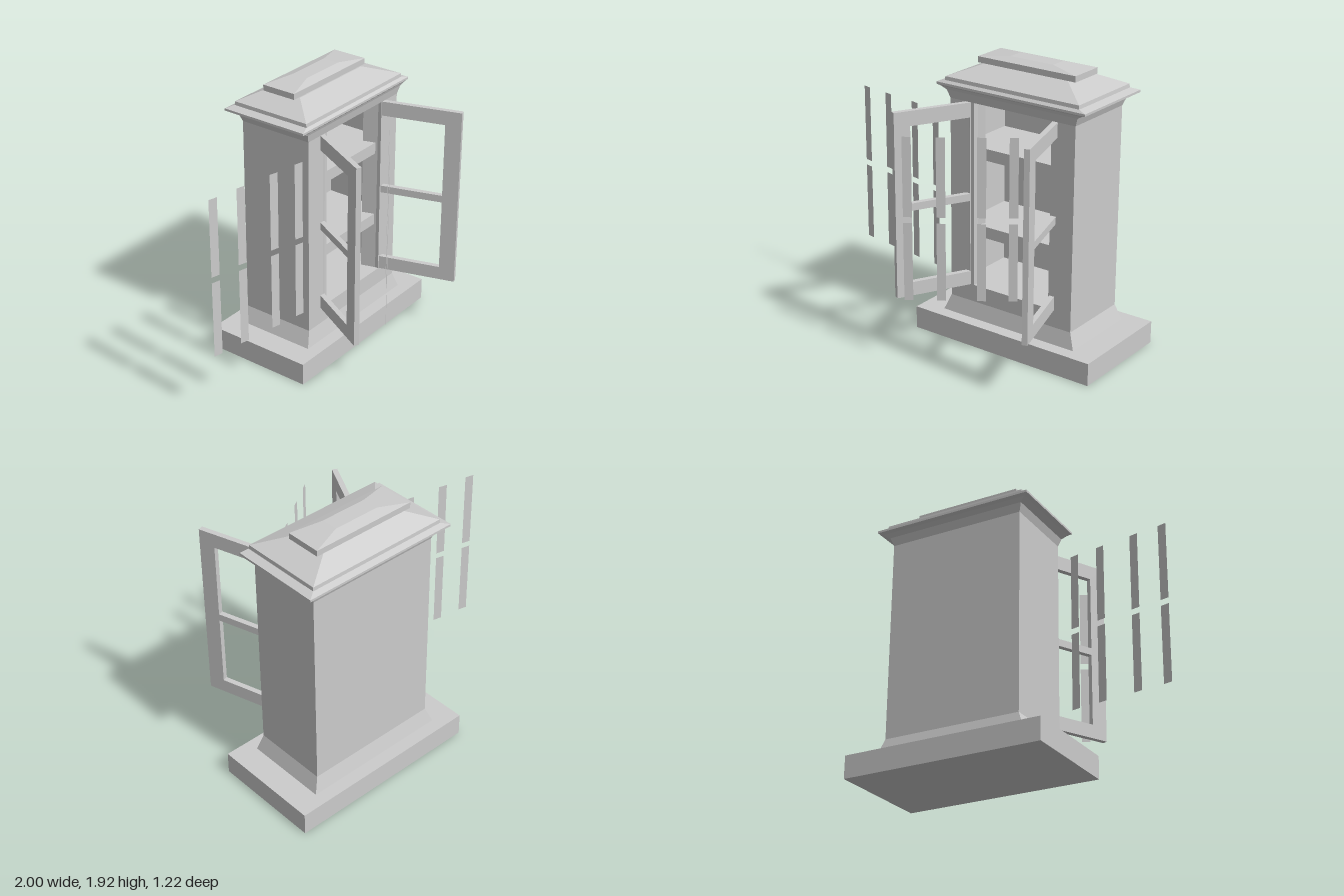
import * as THREE from 'three';

const material = new THREE.MeshStandardMaterial({ color: 0xcccccc, flatShading: true, side: THREE.DoubleSide });

function add(parent, name, geometry) {
  const mesh = new THREE.Mesh(geometry, material);
  mesh.name = name;
  parent.add(mesh);
  return mesh;
}

// Box given by its extents on each axis
function block(parent, name, x0, x1, y0, y1, z0, z1) {
  const mesh = add(parent, name, new THREE.BoxGeometry(x1 - x0, y1 - y0, z1 - z0));
  mesh.position.set((x0 + x1) / 2, (y0 + y1) / 2, (z0 + z1) / 2);
  return mesh;
}

// Closed loft through rectangular sections [y, x0, x1, z0, z1], bottom to top
function loft(parent, name, sections) {
  const positions = [], index = [];
  for (const [y, x0, x1, z0, z1] of sections) {
    positions.push(x0, y, z1, x1, y, z1, x1, y, z0, x0, y, z0);
  }
  for (let s = 0; s < sections.length - 1; s++) {
    for (let i = 0; i < 4; i++) {
      const a = s * 4 + i, b = s * 4 + (i + 1) % 4;
      index.push(a, b, b + 4, a, b + 4, a + 4);
    }
  }
  const t = (sections.length - 1) * 4;
  index.push(0, 2, 1, 0, 3, 2, t, t + 1, t + 2, t, t + 2, t + 3);
  const geometry = new THREE.BufferGeometry();
  geometry.setAttribute('position', new THREE.Float32BufferAttribute(positions, 3));
  geometry.setIndex(index);
  const flat = geometry.toNonIndexed();
  flat.computeVertexNormals();
  return add(parent, name, flat);
}

// Door frame with two openings, running from its hinge to its free edge (x, z)
function door(parent, name, hinge, free) {
  const dx = free[0] - hinge[0], dz = free[1] - hinge[1];
  const w = Math.hypot(dx, dz), stile = 0.11, depth = 0.036;
  const shape = new THREE.Shape([[0, 0.385], [w, 0.385], [w, 1.65], [0, 1.65]].map(p => new THREE.Vector2(...p)));
  for (const [y0, y1] of [[0.48, 0.98], [1.03, 1.55]]) {
    shape.holes.push(new THREE.Path([[stile, y0], [stile, y1], [w - stile, y1], [w - stile, y0]]
      .map(p => new THREE.Vector2(...p))));
  }
  const geometry = new THREE.ExtrudeGeometry(shape, { depth, bevelEnabled: false });
  geometry.translate(0, 0, -depth / 2);
  const mesh = add(parent, name, geometry);
  mesh.position.set(hinge[0], 0, hinge[1]);
  mesh.rotation.y = -Math.atan2(dz, dx);
}

// Row of thin upright panes in two tiers, each given by its start (x, z)
function paneRow(parent, name, starts, step) {
  const row = new THREE.Group();
  row.name = name;
  for (const [x, z] of starts) {
    for (const y of [0.72, 1.29]) {
      const pane = add(row, 'pane', new THREE.PlaneGeometry(Math.hypot(...step), 0.53));
      pane.position.set(x + step[0] / 2, y, z + step[1] / 2);
      pane.rotation.y = -Math.atan2(step[1], step[0]);
    }
  }
  parent.add(row);
}

export function createModel() {
  const model = new THREE.Group();
  model.name = 'cabinet';

  // Base and flared foot
  block(model, 'base', -0.39, 1, 0, 0.155, -0.612, 0.155);
  loft(model, 'foot', [
    [0.155, -0.22, 0.825, -0.52, 0.065],
    [0.265, -0.175, 0.785, -0.49, 0.04],
    [0.385, -0.175, 0.785, -0.49, 0.04],
  ]);

  // Walls around an open front
  const y0 = 0.385, y1 = 1.65;
  block(model, 'backWall', -0.175, 0.785, y0, y1, -0.49, -0.45);
  block(model, 'rightWall', -0.175, -0.1, y0, y1, -0.45, 0.04);
  block(model, 'leftWall', 0.71, 0.785, y0, y1, -0.45, 0.04);
  block(model, 'rightPost', -0.1, 0.015, y0, y1, 0, 0.04);
  block(model, 'leftPost', 0.61, 0.71, y0, y1, 0, 0.04);

  // Shelves
  for (const y of [0.725, 1.265]) block(model, 'shelf', -0.1, 0.71, y, y + 0.08, -0.45, 0);

  // Cornice, hipped roof and cap
  loft(model, 'cornice', [
    [1.65, -0.175, 0.785, -0.49, 0.04],
    [1.705, -0.195, 0.805, -0.51, 0.052],
    [1.725, -0.235, 0.84, -0.54, 0.06],
    [1.735, -0.265, 0.87, -0.563, 0.07],
    [1.75, -0.265, 0.87, -0.563, 0.07],
    [1.765, -0.21, 0.815, -0.525, 0.052],
    [1.79, -0.208, 0.812, -0.523, 0.05],
    [1.86, -0.04, 0.61, -0.385, -0.13],
  ]);
  loft(model, 'cap', [
    [1.86, -0.09, 0.66, -0.386, -0.138],
    [1.9, -0.09, 0.66, -0.386, -0.138],
    [1.922, 0.12, 0.45, -0.315, -0.2],
  ]);

  // Open doors
  door(model, 'rightDoor', [0.022, -0.06], [-0.272, 0.5]);
  door(model, 'leftDoor', [0.597, -0.09], [0.793, 0.556]);

  // Loose panes
  paneRow(model, 'rightPanes', [[-1, -0.064], [-0.785, -0.03], [-0.523, 0.012], [-0.32, 0.045]], [0.06, 0.014]);
  paneRow(model, 'leftPanes', [[-0.11, 0.61], [0.063, 0.492], [0.27, 0.345], [0.432, 0.228]], [0.048, -0.031]);

  return model;
}
